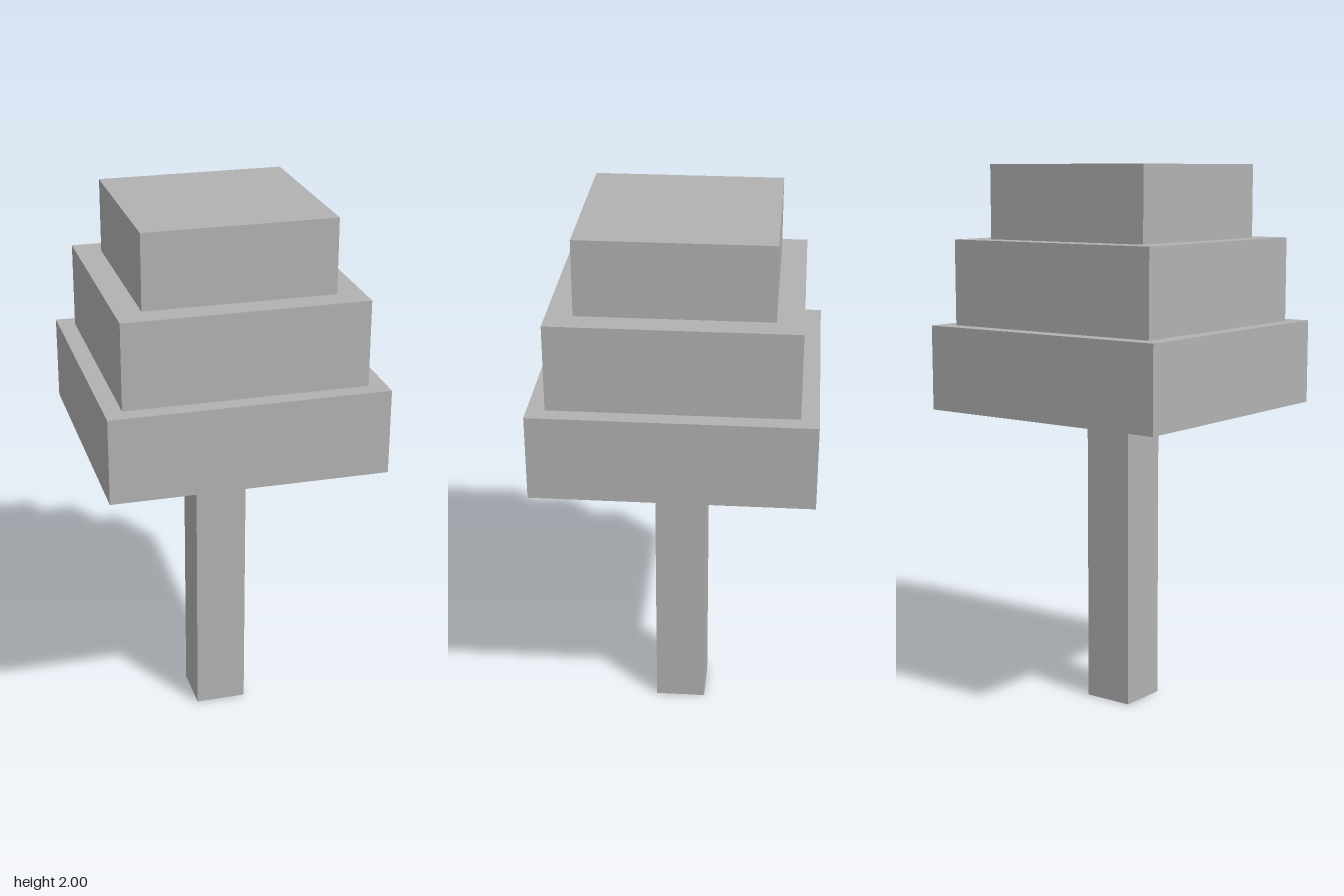
import * as THREE from 'three';

// Box without its bottom face, standing on y = 0
function openBox(width, height) {
  const geo = new THREE.BoxGeometry(width, height, width);
  const index = Array.from(geo.index.array);
  index.splice(18, 6); // drop the -y side
  geo.setIndex(index);
  geo.clearGroups();
  return geo.translate(0, height / 2, 0);
}

export function createModel() {
  const group = new THREE.Group();
  group.name = 'tree';

  const grey = new THREE.MeshStandardMaterial({ color: 0xb2b2b2, side: THREE.DoubleSide });
  grey.name = 'grey';

  // name, width, bottom, top
  const parts = [
    ['trunk', 0.188, 0, 1.115],
    ['lowerFoliage', 0.99, 1.115, 1.423],
    ['middleFoliage', 0.865, 1.423, 1.732],
    ['upperFoliage', 0.68, 1.732, 2],
  ];
  for (const [name, width, bottom, top] of parts) {
    const mesh = new THREE.Mesh(openBox(width, top - bottom), grey);
    mesh.name = name;
    mesh.position.y = bottom;
    group.add(mesh);
  }
  return group;
}
